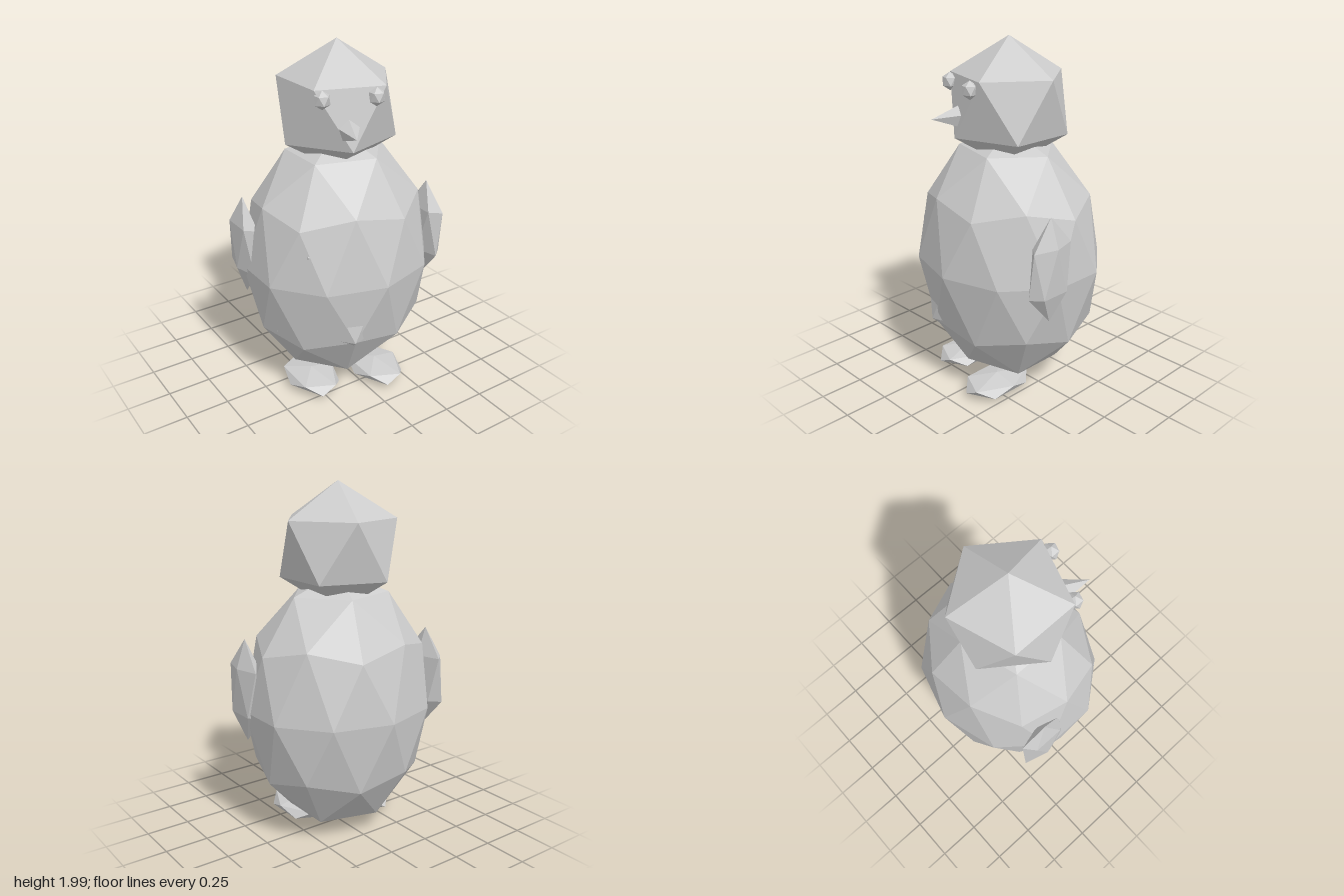
import * as THREE from 'three';

const plain = new THREE.MeshStandardMaterial({ color: 0xcccccc });
plain.name = 'plainGrey';

// Faceted icosphere standing on a vertex, stretched to the given radii
function ico(radii, detail = 0) {
  const geo = new THREE.IcosahedronGeometry(1, detail);
  geo.rotateX(-Math.atan((1 + Math.sqrt(5)) / 2));
  geo.rotateY(Math.PI / 2);
  geo.scale(...radii);
  geo.computeVertexNormals(); // unindexed, so every facet stays flat
  return geo;
}

export function createModel() {
  const model = new THREE.Group();
  model.name = 'bird';
  const add = (name, geo, position) => {
    const mesh = new THREE.Mesh(geo, plain);
    mesh.name = name;
    mesh.position.set(...position);
    model.add(mesh);
  };

  // Torso, with a belly whose corners just break through the chest
  add('body', ico([0.557, 0.75, 0.5], 1), [0, 0.757, 0]);
  add('belly', ico([0.477, 0.6, 0.41]), [-0.038, 0.7, 0.096]);

  // Head
  add('head', ico([0.36, 0.36, 0.36]), [0, 1.64, 0]);
  add('rightEye', ico([0.047, 0.05, 0.045]), [-0.23, 1.755, 0.218]);
  add('leftEye', ico([0.047, 0.05, 0.045]), [0.036, 1.755, 0.312]);

  // Beak: five-sided cone along the facing direction, turned a little to the right
  const beak = new THREE.ConeGeometry(0.061, 0.15, 5).toNonIndexed();
  beak.rotateY(Math.PI);
  beak.rotateX(Math.PI / 2);
  beak.translate(0, 0, 0.075);
  beak.rotateY(-0.33);
  beak.computeVertexNormals();
  add('beak', beak, [-0.106, 1.588, 0.272]);

  // Wings and feet, placed square to the facing direction
  for (const [name, s] of [['left', 1], ['right', -1]]) {
    add(name + 'Wing', ico([0.0615, 0.295, 0.162]), [s * 0.496, 0.865, s * 0.187]);
    add(name + 'Foot', ico([0.16, 0.05, 0.235]), [-0.06 + s * 0.186, 0.06, 0.16 + s * 0.06]);
  }
  return model;
}
